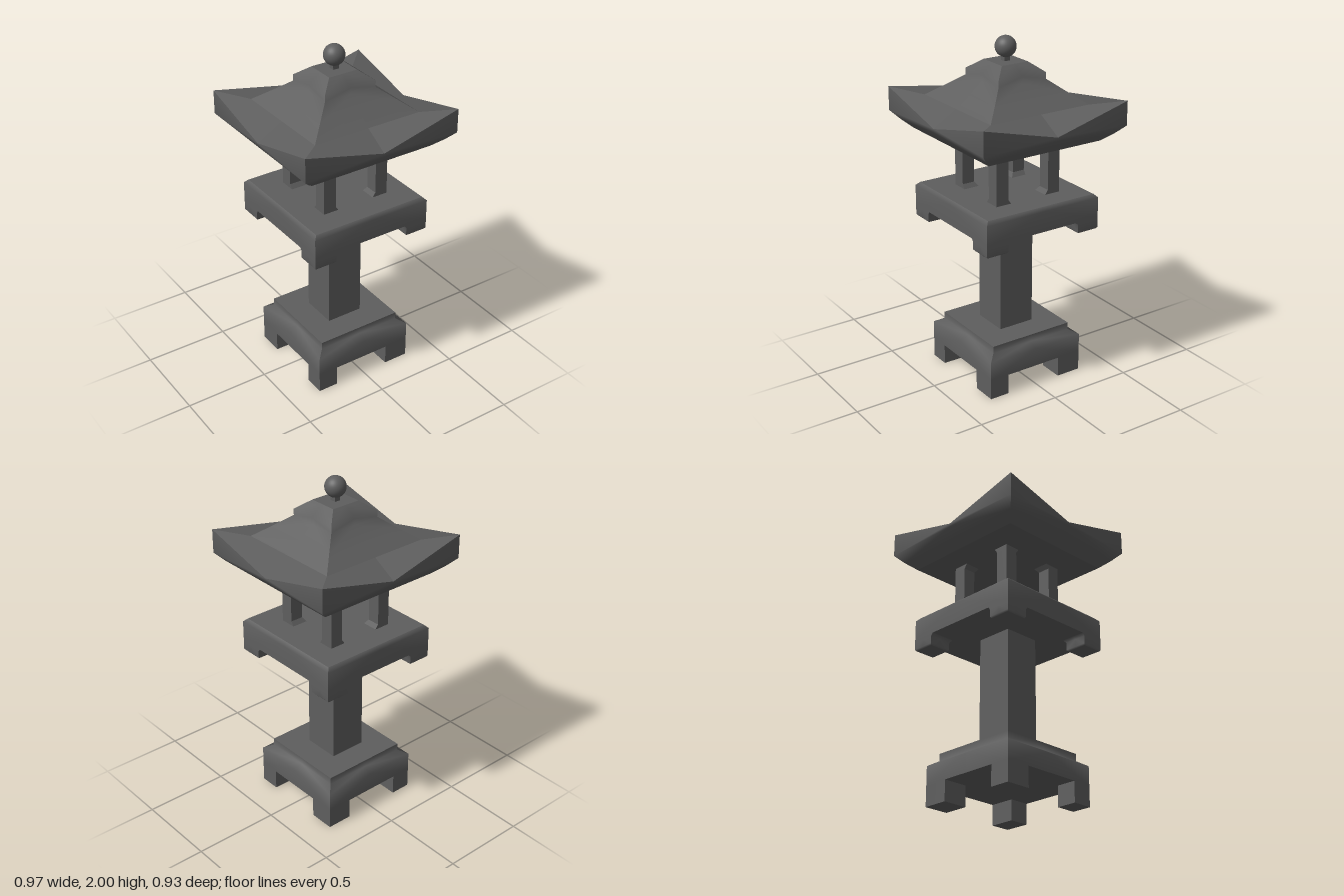
import * as THREE from 'three';
import { mergeGeometries } from 'three/addons/utils/BufferGeometryUtils.js';

const stone = new THREE.MeshStandardMaterial({ color: 0x5e5e5e });

// Rectangular ring; yMid is the height halfway along each side
const ring = (hx, hz, y, yMid = y) => ({ x0: -hx, x1: hx, z0: -hz, z1: hz, y, yMid });
const square = (h, y) => ring(h, h, y);

// Ring of a corner block reaching from inner to outer distances in quadrant sx, sz
function cornerRing(sx, sz, innerX, innerZ, outer, y) {
  const [x0, x1] = sx > 0 ? [innerX, outer] : [-outer, -innerX];
  const [z0, z1] = sz > 0 ? [innerZ, outer] : [-outer, -innerZ];
  return { x0, x1, z0, z1, y, yMid: y };
}

// Corners and side middles, anticlockwise from above, closed on itself
function ringPoints({ x0, x1, z0, z1, y, yMid }) {
  const cx = (x0 + x1) / 2, cz = (z0 + z1) / 2;
  return [
    [x1, y, z1], [x1, yMid, cz], [x1, y, z0], [cx, yMid, z0],
    [x0, y, z0], [x0, yMid, cz], [x0, y, z1], [cx, yMid, z1], [x1, y, z1],
  ].map((p) => new THREE.Vector3(...p));
}

function patch(points, index) {
  const geo = new THREE.BufferGeometry().setFromPoints(points);
  geo.setIndex(index);
  geo.computeVertexNormals();
  return geo;
}

// One side of a loft, three points wide and smooth from bottom to top
function smoothSide(rows, s) {
  const index = [];
  for (let r = 0; r < rows.length - 1; r++) {
    const a = r * 3;
    index.push(a, a + 1, a + 4, a, a + 4, a + 3);
    index.push(a + 1, a + 2, a + 4, a + 2, a + 5, a + 4);
  }
  return patch(rows.flatMap((row) => row.slice(2 * s, 2 * s + 3)), index);
}

// One half-side panel with a single normal, folded from its lower corner to the middle
function flatPanel(low, high, i) {
  const [a, b, c, d] = [low[i], low[i + 1], high[i], high[i + 1]];
  const geo = patch([a, b, c, d], i % 2 ? [0, 1, 2, 1, 3, 2] : [0, 1, 3, 0, 3, 2]);
  const n = d.clone().sub(a).cross(c.clone().sub(b)).normalize();
  for (let k = 0; k < 4; k++) geo.attributes.normal.setXYZ(k, n.x, n.y, n.z);
  return geo;
}

// Skin rings from bottom to top with sharp corners and optional caps
function loft(name, rings, { bottom = true, top = true, smooth = true } = {}) {
  const rows = rings.map(ringPoints);
  const parts = [];
  if (smooth) {
    for (let s = 0; s < 4; s++) parts.push(smoothSide(rows, s));
  } else {
    for (let r = 0; r < rows.length - 1; r++) {
      for (let i = 0; i < 8; i++) parts.push(flatPanel(rows[r], rows[r + 1], i));
    }
  }
  const corners = (row) => [row[0], row[2], row[4], row[6]];
  if (bottom) parts.push(patch(corners(rows[0]), [0, 2, 1, 0, 3, 2]));
  if (top) parts.push(patch(corners(rows.at(-1)), [0, 1, 2, 0, 2, 3]));
  const mesh = new THREE.Mesh(mergeGeometries(parts), stone);
  mesh.name = name;
  return mesh;
}

export function createModel() {
  const model = new THREE.Group();
  model.name = 'stoneLantern';

  // Stepped base, column and platform
  model.add(
    loft('base', [square(0.31, 0.12), square(0.31, 0.23), square(0.262, 0.258), square(0.262, 0.3)]),
    loft('column', [square(0.11, 0.3), square(0.11, 0.98)]),
    loft('platform', [square(0.372, 0.98), square(0.372, 1.1), square(0.352, 1.12)]),
  );

  // Four legs, platform feet and lantern posts
  const posts = new THREE.Group();
  posts.name = 'lanternPosts';
  posts.position.set(0.005, 0, -0.005);
  model.add(posts);
  for (const sx of [-1, 1]) {
    for (const sz of [-1, 1]) {
      const lx = sx > 0 ? 0.16 : 0.19, lz = sz > 0 ? 0.19 : 0.16;
      model.add(loft('baseLeg', [0, 0.12].map((y) => cornerRing(sx, sz, lx, lz, 0.31, y)), { top: false }));

      const foot = [[0.242, 0.365, 0.912], [0.235, 0.372, 0.92], [0.235, 0.372, 0.965], [0.222, 0.372, 0.98]];
      model.add(loft('platformFoot', foot.map(([i, o, y]) => cornerRing(sx, sz, i, i, o, y)), { top: false }));

      const post = [[0.115, 1.12], [0.133, 1.145], [0.133, 1.415], [0.115, 1.44]];
      posts.add(loft('lanternPost', post.map(([i, y]) => cornerRing(sx, sz, i, i, 0.21, y)), { smooth: false }));
    }
  }

  // Roof: curved underside, upswept eaves, slope and stepped cap
  const roof = new THREE.Group();
  roof.name = 'roof';
  roof.add(
    loft('roofUnderside', [ring(0.382, 0.365, 1.44), ring(0.437, 0.417, 1.486),
      ring(0.485, 0.463, 1.535), ring(0.485, 0.463, 1.675, 1.555)], { top: false }),
    loft('roofEaves', [ring(0.485, 0.463, 1.675, 1.555), ring(0.333, 0.319, 1.64)],
      { bottom: false, top: false, smooth: false }),
    loft('roofSlope', [ring(0.333, 0.319, 1.64), ring(0.25, 0.239, 1.702), ring(0.162, 0.155, 1.77),
      ring(0.162, 0.155, 1.807), ring(0.089, 0.085, 1.862)], { bottom: false }),
  );
  model.add(roof);

  // Ball finial on a short neck
  const ball = new THREE.Mesh(new THREE.SphereGeometry(0.06, 32, 20), stone);
  ball.name = 'finialBall';
  ball.position.y = 1.94;
  model.add(loft('finialNeck', [square(0.018, 1.855), square(0.018, 1.9)]), ball);

  return model;
}
